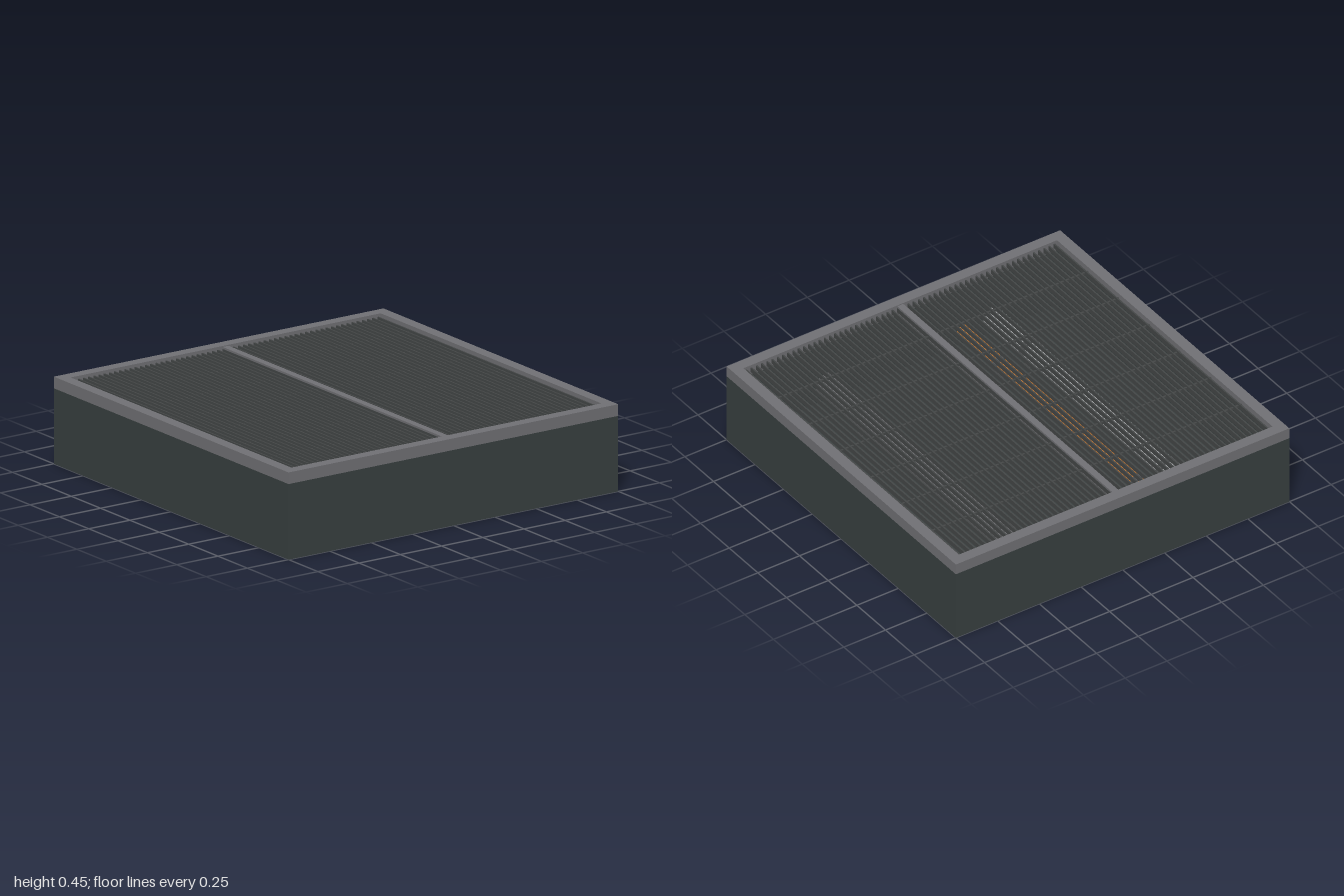
import * as THREE from 'three';

const mat = (name, color) => {
  const m = new THREE.MeshStandardMaterial({ color });
  m.name = name;
  return m;
};

export function createModel() {
  const group = new THREE.Group();
  group.name = 'floorGrateTile';

  const trayDark = mat('dark tray', 0x394141);
  const frameGrey = mat('frame grey', 0x727276);
  const grateGrey = mat('grate grey', 0x454848);
  const lightPipe = mat('light pipe', 0xb4b6b8);
  const orangePipe = mat('orange pipe', 0xd07a2c);
  const greyPipe = mat('grey pipe', 0x737377);
  const clampGrey = mat('clamp grey', 0x5c5e60);

  const add = (name, geometry, material, x, y, z, parent = group) => {
    const mesh = new THREE.Mesh(geometry, material);
    mesh.name = name;
    mesh.position.set(x, y, z);
    parent.add(mesh);
    return mesh;
  };
  const box = (name, w, h, d, material, x, y, z, parent) =>
    add(name, new THREE.BoxGeometry(w, h, d), material, x, y, z, parent);

  // Hollow tray: floor and four walls
  const wall = 0.06, inner = 1 - wall, floorTop = 0.05, trayTop = 0.39, top = 0.45;
  const wallH = trayTop - floorTop, wallY = (trayTop + floorTop) / 2;
  box('trayFloor', 2, floorTop, 2, trayDark, 0, floorTop / 2, 0);
  for (const s of [-1, 1]) {
    box('trayEndWall', 2, wallH, wall, trayDark, 0, wallY, s * (1 - wall / 2));
    box('traySideWall', wall, wallH, 2 * inner, trayDark, s * (1 - wall / 2), wallY, 0);
  }

  // Rim: full-width ends, sides fitted between them
  const rimH = top - trayTop, rimY = (top + trayTop) / 2;
  for (const s of [-1, 1]) {
    box('rimEnd', 2, rimH, wall, frameGrey, 0, rimY, s * (1 - wall / 2));
    box('rimSide', wall, rimH, 2 * inner, frameGrey, s * (1 - wall / 2), rimY, 0);
  }

  // Central support beam
  box('centreBeam', 0.036, 0.06, 2 * inner, frameGrey, 0, 0.415, 0);

  // Grating: thin lengthwise slats and a few cross bars
  const grating = new THREE.Group();
  grating.name = 'grating';
  group.add(grating);
  const slats = 60, pitch = (2 * inner) / slats;
  const slatGeometry = new THREE.BoxGeometry(0.008, 0.026, 2 * inner);
  for (let i = 0; i < slats; i++) {
    add('slat', slatGeometry, grateGrey, -inner + (i + 0.5) * pitch, 0.422, 0, grating);
  }
  for (let i = 0; i < 6; i++) {
    box('crossBar', 2 * inner, 0.014, 0.01, grateGrey, 0, 0.418, (i - 2.5) * 0.268, grating);
  }

  // Pipes along the tray, each held by two clamps
  const pipes = [
    ['lightPipe', -0.55, 0.055, lightPipe],
    ['orangePipe', -0.375, 0.038, orangePipe],
    ['greyPipe', 0.445, 0.062, greyPipe],
  ];
  for (const [name, x, r, material] of pipes) {
    const y = floorTop + r + 0.04;
    const pipe = add(name, new THREE.CylinderGeometry(r, r, 2 * inner, 16), material, x, y, 0);
    pipe.rotation.x = Math.PI / 2;
    for (const z of [-0.6, 0.6]) {
      const ring = add(name + 'Clamp', new THREE.CylinderGeometry(r + 0.012, r + 0.012, 0.03, 16), clampGrey, x, y, z);
      ring.rotation.x = Math.PI / 2;
      box(name + 'ClampFoot', r, 0.05, 0.03, clampGrey, x, floorTop + 0.025, z);
    }
  }

  return group;
}
